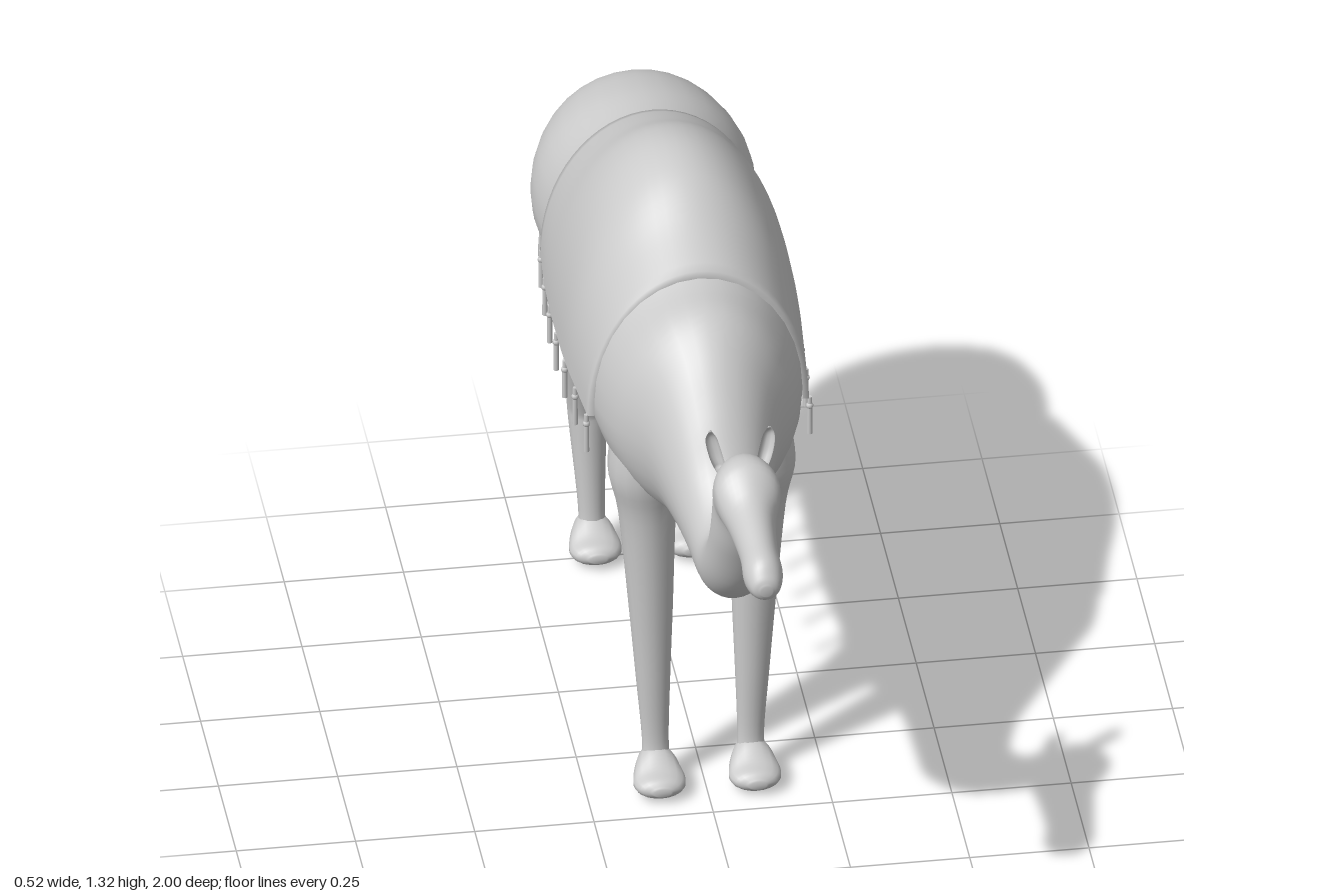
import * as THREE from 'three';

const grey = new THREE.MeshStandardMaterial({ color: 0xcccccc });
const cloth = new THREE.MeshStandardMaterial({ color: 0xcccccc, side: THREE.DoubleSide });

function gridGeometry(points, rows, cols, wrap) {
  const index = [];
  for (let i = 0; i < rows - 1; i++) {
    for (let j = 0; j < (wrap ? cols : cols - 1); j++) {
      const k = (j + 1) % cols;
      const a = i * cols + j, b = i * cols + k, c = a + cols, d = b + cols;
      index.push(a, c, b, b, c, d);
    }
  }
  const g = new THREE.BufferGeometry();
  g.setAttribute('position', new THREE.Float32BufferAttribute(points, 3));
  g.setIndex(index);
  g.computeVertexNormals();
  return g;
}

// Smooth skin through oval sections: [z1, y1, z2, y2, halfWidth, centre, x].
// Points 1 and 2 are the two ends of the oval, "centre" places its widest line
// between them (0 = at point 1, 1 = at point 2).
function skin(name, sections, cols = 28, steps = 5) {
  const curve = (f) => new THREE.CatmullRomCurve3(
    sections.map((s) => new THREE.Vector3(...f(s))), false, 'catmullrom', 0.5);
  const first = curve((s) => [0, s[1], s[0]]);
  const second = curve((s) => [0, s[3], s[2]]);
  const shape = curve((s) => [s[4], s[5] ?? 0.5, s[6] ?? 0]);
  const n = (sections.length - 1) * steps;
  const pts = [];
  const ring = (t, scale) => {
    const p = first.getPoint(t), q = second.getPoint(t), w = shape.getPoint(t);
    const mid = p.clone().lerp(q, w.y);
    for (let j = 0; j < cols; j++) {
      const a = (j / cols) * Math.PI * 2, c = Math.cos(a);
      const v = mid.clone().lerp(c > 0 ? p : q, Math.abs(c) * scale);
      pts.push(w.z + w.x * Math.sin(a) * scale, v.y, v.z);
    }
  };
  ring(0, 0);
  for (let i = 0; i <= n; i++) ring(i / n, 1);
  ring(1, 0);
  const mesh = new THREE.Mesh(gridGeometry(pts, n + 3, cols, true), grey);
  mesh.name = name;
  return mesh;
}

// Saddle cloth profile along the back: [z, top, halfWidth]
const HEM = 0.865;
const CLOTH = [
  [0.04, 1.2, 0.232], [-0.06, 1.245, 0.24], [-0.17, 1.305, 0.248], [-0.27, 1.32, 0.25],
  [-0.37, 1.3, 0.25], [-0.48, 1.245, 0.246], [-0.6, 1.19, 0.236],
];

function saddleCloth() {
  const curve = new THREE.CatmullRomCurve3(CLOTH.map(([z, y, w]) => new THREE.Vector3(w, y, z)));
  const pts = [], cols = 33, n = 30;
  const row = (t, s) => {
    const p = curve.getPoint(t);
    for (let j = 0; j < cols; j++) {
      const a = (j / (cols - 1)) * Math.PI;
      pts.push(p.x * s * Math.cos(a), HEM + (p.y * s + HEM * (1 - s) - HEM) * Math.sin(a), p.z);
    }
  };
  // turned-in edges at both ends
  row(0, 0.94);
  for (let i = 0; i <= n; i++) row(i / n, 1);
  row(1, 0.94);
  const mesh = new THREE.Mesh(gridGeometry(pts, n + 3, cols, false), cloth);
  mesh.name = 'saddleCloth';
  return mesh;
}

export function createModel() {
  const model = new THREE.Group();
  model.name = 'camel';

  // Rump, belly, hump, chest, neck and head as one skin
  model.add(skin('body', [
    [-0.968, 0.97, -0.966, 0.88, 0.05],
    [-0.945, 1.04, -0.945, 0.79, 0.13],
    [-0.88, 1.11, -0.87, 0.72, 0.195],
    [-0.76, 1.145, -0.75, 0.675, 0.233],
    [-0.6, 1.165, -0.6, 0.715, 0.225, 0.6],
    [-0.45, 1.235, -0.45, 0.74, 0.232, 0.72],
    [-0.27, 1.295, -0.27, 0.735, 0.236, 0.74],
    [-0.1, 1.24, -0.1, 0.745, 0.228, 0.72],
    [0.04, 1.183, 0.04, 0.69, 0.218, 0.58],
    [0.15, 1.17, 0.14, 0.68, 0.192, 0.55],
    [0.235, 1.115, 0.24, 0.7, 0.142],
    [0.32, 1.025, 0.34, 0.705, 0.108],
    [0.4, 0.93, 0.43, 0.7, 0.085],
    [0.49, 0.88, 0.53, 0.71, 0.074],
    [0.555, 0.915, 0.63, 0.79, 0.07],
    [0.605, 0.99, 0.69, 0.91, 0.066],
    [0.625, 1.09, 0.72, 0.99, 0.064],
    [0.655, 1.145, 0.74, 1.0, 0.068],
    [0.72, 1.16, 0.765, 1.003, 0.068, 0.4],
    [0.79, 1.115, 0.8, 1.005, 0.05],
    [0.89, 1.093, 0.89, 1.0, 0.04],
    [0.96, 1.082, 0.94, 0.982, 0.041],
    [0.99, 1.055, 0.985, 0.995, 0.03],
    [1.0, 1.035, 0.998, 1.01, 0.012],
  ], 32));

  // Hanging tail
  model.add(skin('tail', [
    [-0.92, 1.0, -0.962, 1.0, 0.035],
    [-0.935, 0.91, -0.99, 0.92, 0.03],
    [-0.955, 0.83, -1.0, 0.84, 0.02],
    [-0.965, 0.75, -0.992, 0.75, 0.013],
    [-0.972, 0.685, -0.978, 0.685, 0.003],
  ], 12));

  for (const [side, s] of [['left', 1], ['right', -1]]) {
    // Front leg from shoulder to ankle
    model.add(skin(side + 'FrontLeg', [
      [0.17, 0.88, -0.03, 0.88, 0.06, 0.5, 0.12 * s],
      [0.17, 0.76, 0.0, 0.76, 0.076, 0.5, 0.12 * s],
      [0.15, 0.65, 0.03, 0.65, 0.06, 0.5, 0.115 * s],
      [0.137, 0.42, 0.052, 0.42, 0.046, 0.5, 0.108 * s],
      [0.13, 0.25, 0.068, 0.25, 0.036, 0.5, 0.104 * s],
      [0.126, 0.1, 0.083, 0.1, 0.028, 0.5, 0.1 * s],
      [0.14, 0.04, 0.085, 0.04, 0.032, 0.5, 0.1 * s],
    ], 18));

    // Hind leg with its backward hock
    model.add(skin(side + 'HindLeg', [
      [-0.6, 0.9, -0.9, 0.9, 0.06, 0.5, 0.13 * s],
      [-0.59, 0.76, -0.87, 0.76, 0.084, 0.5, 0.135 * s],
      [-0.63, 0.63, -0.77, 0.65, 0.065, 0.5, 0.128 * s],
      [-0.7, 0.49, -0.81, 0.51, 0.05, 0.5, 0.115 * s],
      [-0.765, 0.35, -0.85, 0.38, 0.043, 0.5, 0.107 * s],
      [-0.772, 0.29, -0.855, 0.31, 0.04, 0.5, 0.105 * s],
      [-0.765, 0.1, -0.815, 0.1, 0.028, 0.5, 0.1 * s],
      [-0.755, 0.04, -0.815, 0.04, 0.032, 0.5, 0.1 * s],
    ], 18));

    // Broad padded feet
    for (const [part, z] of [['FrontFoot', 0], ['HindFoot', -0.9]]) {
      model.add(skin(side + part, [
        [0.076 + z, 0.045, 0.076 + z, 0.025, 0.015, 0.5, 0.1 * s],
        [0.09 + z, 0.08, 0.09 + z, 0.012, 0.033, 0.6, 0.1 * s],
        [0.125 + z, 0.085, 0.125 + z, 0.002, 0.047, 0.6, 0.1 * s],
        [0.165 + z, 0.06, 0.165 + z, 0.0, 0.055, 0.5, 0.1 * s],
        [0.195 + z, 0.052, 0.195 + z, 0.008, 0.045, 0.5, 0.1 * s],
        [0.21 + z, 0.038, 0.21 + z, 0.02, 0.018, 0.5, 0.1 * s],
      ], 18));
    }

    // Small upright ear
    const ear = skin(side + 'Ear', [
      [0.625, 1.185, 0.62, 1.185, 0.003, 0.5, 0.062 * s],
      [0.615, 1.165, 0.64, 1.165, 0.013, 0.5, 0.06 * s],
      [0.62, 1.13, 0.65, 1.13, 0.015, 0.5, 0.052 * s],
      [0.63, 1.1, 0.66, 1.1, 0.012, 0.5, 0.042 * s],
    ], 10);
    model.add(ear);

    // Tassels along the hem
    const tassels = new THREE.Group();
    tassels.name = side + 'Tassels';
    for (let i = 0; i < 7; i++) {
      const z = 0.036 - i * 0.1055;
      const x = 0.234 + 0.016 * Math.sin((i / 6) * Math.PI);
      const cord = new THREE.Mesh(new THREE.CylinderGeometry(0.005, 0.006, 0.09, 8), grey);
      cord.position.set(x * s, 0.822, z);
      const knot = new THREE.Mesh(new THREE.SphereGeometry(0.008, 8, 6), grey);
      knot.position.set(x * s, 0.845, z);
      cord.name = 'tasselCord';
      knot.name = 'tasselKnot';
      tassels.add(cord, knot);
    }
    model.add(tassels);
  }

  model.add(saddleCloth());
  return model;
}
